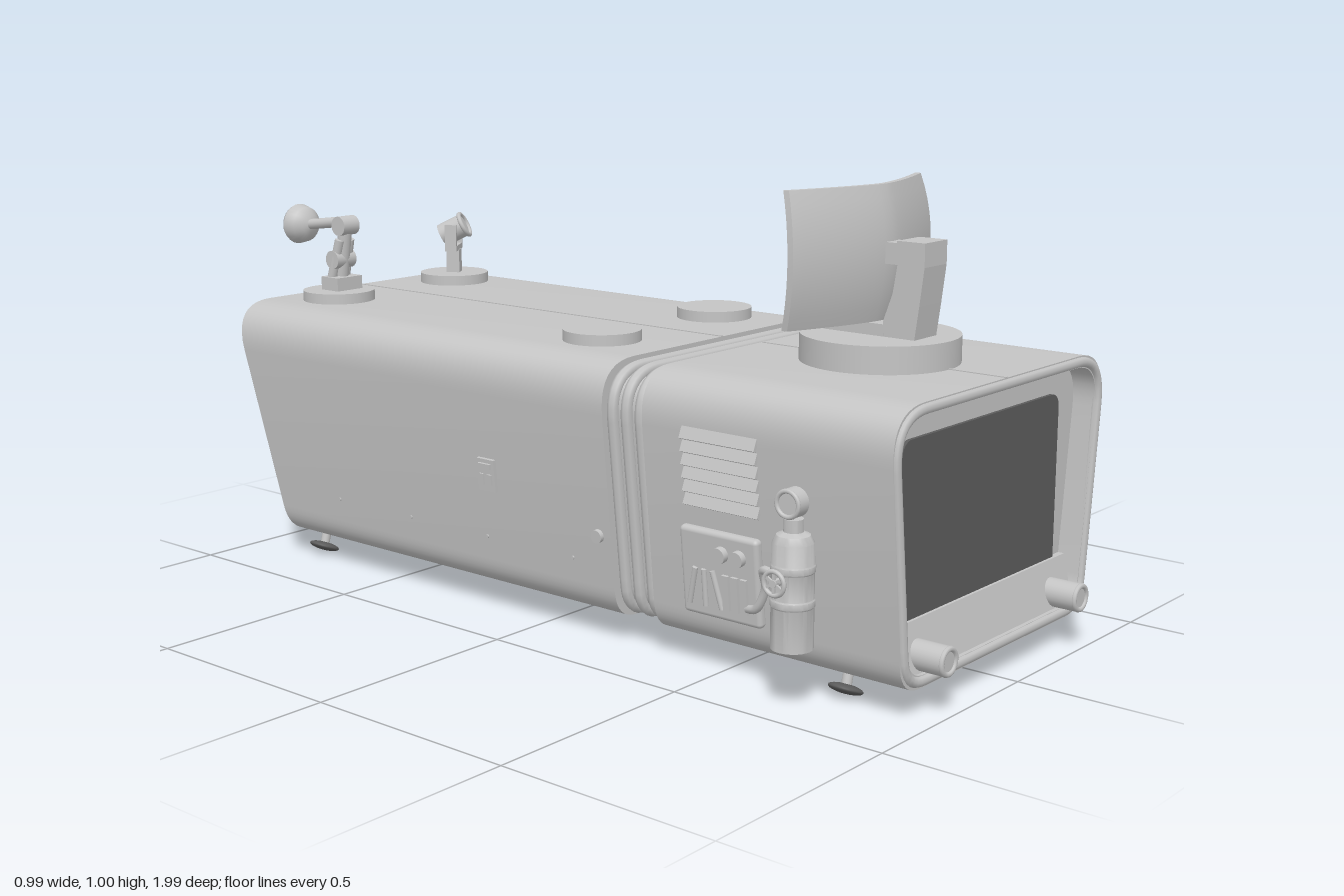
import * as THREE from 'three';
import { toCreasedNormals } from 'three/addons/utils/BufferGeometryUtils.js';
import { RoundedBoxGeometry } from 'three/addons/geometries/RoundedBoxGeometry.js';

const body = new THREE.MeshStandardMaterial({ color: 0xc4c4c4 });
body.name = 'hull grey';
const dark = new THREE.MeshStandardMaterial({ color: 0x5c5c5c });
dark.name = 'dark grey';

const H = Math.PI / 2, TOP = 0.63, BOT = 0.057, SLOPE = 0.1, LEAN = 0.1, RAKE = 0.207;
const V = (x, y, z) => new THREE.Vector3(x, y, z);
const sideX = y => 0.36 + (y - BOT) * SLOPE;
const rearZ = y => -0.98 + (TOP - y) * RAKE;

function add(parent, name, geo, mat, pos = [0, 0, 0], rot = [0, 0, 0]) {
  const m = new THREE.Mesh(geo, mat);
  m.name = name;
  m.position.set(...pos);
  m.rotation.set(...rot);
  parent.add(m);
  return m;
}
const box = (x, y, z) => new THREE.BoxGeometry(x, y, z);
const cyl = (a, b, h, n = 24) => new THREE.CylinderGeometry(a, b, h, n);
const shape = pts => new THREE.Shape(pts.map(p => new THREE.Vector2(...p)));

// Straight bar between two points
function rod(parent, name, a, b, r1, r2 = r1) {
  const m = add(parent, name, cyl(r2, r1, a.distanceTo(b), 16), body);
  m.position.copy(a).lerp(b, 0.5);
  m.quaternion.setFromUnitVectors(V(0, 1, 0), b.clone().sub(a).normalize());
}

// Rounded, downward-narrowing hull cross-section
function section(inset = 0) {
  const t = TOP - inset, b = BOT + inset, xt = sideX(TOP) - inset, xb = sideX(BOT) - inset;
  const r = 0.115 - inset * 0.6, q = r * 0.6, k = r * SLOPE, s = new THREE.Shape();
  s.moveTo(-xb + q, b);
  s.lineTo(xb - q, b);
  s.quadraticCurveTo(xb, b, xb + k * 0.6, b + q);
  s.lineTo(xt - k, t - r);
  s.quadraticCurveTo(xt, t, xt - r, t);
  s.lineTo(-xt + r, t);
  s.quadraticCurveTo(-xt, t, -xt + k, t - r);
  s.lineTo(-xb - k * 0.6, b + q);
  s.quadraticCurveTo(-xb, b, -xb + q, b);
  return s;
}
function extrude(s, z0, z1) {
  const g = new THREE.ExtrudeGeometry(s, { depth: z1 - z0, bevelEnabled: false, curveSegments: 10 });
  return g.translate(0, 0, z0);
}
function holed(outer, inner) {
  outer.holes.push(inner);
  return outer;
}
// Rake the tail so that its lower edge is further forward
function rake(g) {
  const p = g.attributes.position;
  for (let i = 0; i < p.count; i++)
    if (p.getZ(i) < -0.6) p.setZ(i, p.getZ(i) + (TOP - p.getY(i)) * RAKE);
  g.computeVertexNormals();
  return toCreasedNormals(g, 0.5);
}
// Round bead following the hull section
function bead(inset, zAt, r) {
  const pts = section(inset).getSpacedPoints(90).slice(0, -1).map(p => V(p.x, p.y, zAt(p.y)));
  return new THREE.TubeGeometry(new THREE.CatmullRomCurve3(pts, true), 180, r, 8, true);
}
function roundRect(w, h, r, cy = 0) {
  const s = new THREE.Shape(), x = w / 2 - r, y = h / 2 - r;
  s.absarc(x, cy + y, r, 0, H);
  s.absarc(-x, cy + y, r, H, 2 * H);
  s.absarc(-x, cy - y, r, 2 * H, 3 * H);
  s.absarc(x, cy - y, r, 3 * H, 4 * H);
  return s;
}

function hull(g) {
  add(g, 'frontHull', toCreasedNormals(extrude(holed(section(), section(0.025)), 0.335, 0.948), 0.5), body);
  add(g, 'rearHull', rake(extrude(holed(section(), section(0.025)), -0.975, 0.225)), body);
  add(g, 'frontRim', bead(0.0135, () => 0.945, 0.012), body);
  add(g, 'rearRim', bead(0.0135, y => rearZ(y) + 0.008, 0.012), body);
  // Bellows joint between both hull halves
  add(g, 'jointCore', toCreasedNormals(extrude(section(0.022), 0.2, 0.36), 0.5), body);
  for (const z of [0.242, 0.28, 0.318]) add(g, 'jointRib', bead(0.018, () => z, 0.013), body);
  // Centre seams
  for (const y of [TOP, BOT]) {
    add(g, 'seam', box(0.005, 0.004, 0.61), body, [0, y, 0.643]);
    const len = y === TOP ? 1.195 : 1.07;
    add(g, 'seam', box(0.005, 0.004, len), body, [0, y, 0.225 - len / 2]);
  }
  // Windscreen end
  add(g, 'frontPanel', extrude(section(0.02), 0.86, 0.895), body);
  add(g, 'windscreen', extrude(roundRect(0.61, 0.405, 0.03, 0.3425), 0.895, 0.903), dark);
  const ledge = extrude(shape([[-0.3, 0.078], [0.3, 0.078], [0.335, 0.11], [0.352, 0.18],
    [-0.352, 0.18], [-0.335, 0.11]]), 0.88, 0.94);
  const p = ledge.attributes.position;
  for (let i = 0; i < p.count; i++) p.setZ(i, p.getZ(i) - (p.getY(i) - 0.078) * 0.3);
  ledge.computeVertexNormals();
  add(g, 'frontLedge', ledge, body);
  for (const x of [-0.265, 0.265]) {
    add(g, 'headlamp', cyl(0.031, 0.031, 0.1), body, [x, 0.115, 0.945], [H, 0, 0]);
    add(g, 'headlampRing', new THREE.TorusGeometry(0.026, 0.006, 8, 24), body, [x, 0.115, 0.994]);
  }
}

function tail(g) {
  const low = shape([[-0.3, 0.075], [0.3, 0.075], [0.338, 0.115], [0.37, 0.345], [-0.37, 0.345], [-0.338, 0.115]]);
  add(g, 'tailPanel', rake(extrude(low, -0.94, -0.92)), body);
  add(g, 'rearDeck', box(0.73, 0.02, 0.43), body, [0, 0.335, -0.655]);
  // Windowed partition with a raised frame, and the wall behind it
  const y = 0.462;
  add(g, 'partition', extrude(holed(section(0.02), roundRect(0.6, 0.19, 0.06, y)), -0.68, -0.66), body);
  add(g, 'partitionFrame', extrude(holed(roundRect(0.66, 0.23, 0.08, y), roundRect(0.6, 0.19, 0.06, y)), -0.7, -0.68), body);
  add(g, 'rearBulkhead', extrude(section(0.02), -0.46, -0.44), body);
  for (const s of [-1, 1])
    for (const [dx, ly, r] of [[-0.035, 0.125, 0.027], [0.035, 0.125, 0.027], [0, 0.172, 0.024]]) {
      const z = rearZ(ly) + 0.03;
      add(g, 'tailLamp', cyl(r, r, 0.05), body, [s * 0.25 + dx, ly, z], [H, 0, 0]);
      add(g, 'tailLampRing', new THREE.TorusGeometry(r - 0.004, 0.005, 6, 20), body, [s * 0.25 + dx, ly, z - 0.025]);
    }
  for (const x of [0.22, 0.25]) rod(g, 'tailPipe', V(x, 0.188, -0.83), V(x, 0.188, -0.96), 0.006);
}

function roof(g) {
  for (const x of [-0.2, 0.2]) for (const z of [0.045, -0.83])
    add(g, 'roofDisc', cyl(0.088, 0.088, 0.03, 40), body, [x, 0.64, z]);
  // Dish turntable, post and curved reflector
  add(g, 'turntable', cyl(0.17, 0.17, 0.065, 48), body, [0, 0.656, 0.645]);
  add(g, 'dishBase', box(0.085, 0.026, 0.15), body, [0, 0.701, 0.605]);
  const post = shape([[-0.755, 0.688], [-0.765, 0.76], [-0.775, 0.84], [-0.775, 0.89], [-0.708, 0.89],
    [-0.71, 0.84], [-0.7, 0.78], [-0.678, 0.72], [-0.68, 0.688]]);
  add(g, 'dishPost', extrude(post, -0.042, 0.042), body, [0, 0, 0], [0, H, 0]);
  add(g, 'dishBracket', box(0.05, 0.045, 0.07), body, [0, 0.86, 0.69]);
  const d = new THREE.BoxGeometry(0.51, 0.285, 0.014, 20, 10, 1), p = d.attributes.position;
  for (let i = 0; i < p.count; i++) {
    const u = p.getX(i) / 0.255, v = p.getY(i) / 0.1425;
    p.setX(i, p.getX(i) * (1 - 0.05 * v * v));
    p.setZ(i, p.getZ(i) + 0.665 - 0.07 * Math.pow(Math.abs(u), 1.4) - 0.022 * v * v);
  }
  d.computeVertexNormals();
  add(g, 'dish', toCreasedNormals(d, 0.6), body, [0, 0.857, 0]);
  rod(g, 'dishFeed', V(0, 0.86, 0.66), V(0, 0.86, 0.48), 0.016, 0.007);
  add(g, 'feedBall', new THREE.SphereGeometry(0.028, 24, 16), body, [0, 0.86, 0.47]);

  // Horn on a jointed arm
  const x = -0.19;
  add(g, 'hornFoot', box(0.08, 0.035, 0.06), body, [x, 0.67, -0.83]);
  for (const s of [-1, 1]) rod(g, 'hornStrut', V(x + s * 0.022, 0.67, -0.845), V(x + s * 0.016, 0.78, -0.815), 0.012);
  add(g, 'hornJoint', cyl(0.023, 0.023, 0.06, 20), body, [x, 0.73, -0.83], [0, 0, H]);
  rod(g, 'hornNeck', V(x, 0.69, -0.83), V(x, 0.82, -0.81), 0.017);
  add(g, 'hornElbow', cyl(0.024, 0.024, 0.05, 20), body, [x, 0.815, -0.81], [0, 0, H]);
  rod(g, 'hornArm', V(x, 0.825, -0.81), V(x, 0.808, -0.94), 0.013);
  const bowl = [[0.001, -0.05], [0.026, -0.044], [0.043, -0.027], [0.05, 0], [0.046, 0.008], [0.038, 0], [0.024, -0.022], [0.001, -0.03]];
  add(g, 'hornBowl', new THREE.LatheGeometry(bowl.map(q => new THREE.Vector2(...q)), 28), body, [x, 0.806, -0.985], [-H, 0, 0]);

  // Swivel lamp in a yoke
  const lamp = new THREE.Group();
  lamp.name = 'swivelLamp';
  lamp.position.set(0.2, 0.655, -0.83);
  lamp.rotation.y = 0.6;
  g.add(lamp);
  add(lamp, 'lampPost', box(0.034, 0.06, 0.034), body, [0, 0.03, 0]);
  add(lamp, 'yokeBase', box(0.085, 0.014, 0.03), body, [0, 0.065, 0]);
  for (const s of [-1, 1]) add(lamp, 'yokeArm', box(0.01, 0.065, 0.03), body, [s * 0.038, 0.095, 0]);
  add(lamp, 'lampHead', cyl(0.03, 0.03, 0.065), body, [0, 0.11, 0], [1.1, 0, 0]);
  add(lamp, 'lampRing', new THREE.TorusGeometry(0.03, 0.006, 8, 24), body, [0, 0.125, 0.029], [-0.47, 0, 0]);
}

function flank(g, s) {
  const at = (y, z, out = 0) => [s * (sideX(y) + out), y, z];
  const tilt = [0, 0, -s * LEAN], out = [0, 0, H - s * LEAN];
  // Louvres, each flared out at its lower edge
  for (let i = 0; i < 6; i++)
    add(g, 'louvre', box(0.008, 0.026, 0.19), body, at(0.375 + i * 0.028, 0.535, 0.002), [0, 0, s * 0.4]);
  // Control box with knobs, switches and cables
  add(g, 'controlBox', new RoundedBoxGeometry(0.024, 0.19, 0.2, 3, 0.01), body, at(0.225, 0.53, 0.006), tilt);
  for (const z of [0.585, 0.54]) add(g, 'knob', cyl(0.017, 0.017, 0.025), body, at(0.275, z, 0.02), out);
  for (let i = 0; i < 3; i++) add(g, 'switch', box(0.018, 0.075, 0.016), body, at(0.195, 0.595 - i * 0.023, 0.016), tilt);
  for (let i = 0; i < 3; i++) {
    const z = 0.515 - i * 0.022;
    rod(g, 'cable', V(...at(0.235, z, 0.02)), V(...at(0.155, z - (i - 1) * 0.02, 0.02)), 0.006);
  }
  // Gas bottle with gauge and hand wheel
  const bx = 0.428, bz = 0.738;
  const prof = [[0, 0.13], [0.043, 0.13], [0.043, 0.215], [0.045, 0.218], [0.045, 0.23], [0.043, 0.233], [0.043, 0.285], [0.045, 0.288],
    [0.045, 0.3], [0.043, 0.303], [0.042, 0.345], [0.034, 0.36], [0.02, 0.366], [0.02, 0.392], [0, 0.392]];
  const bottle = new THREE.LatheGeometry(prof.map(q => new THREE.Vector2(...q)), 28).toNonIndexed();
  add(g, 'gasBottle', toCreasedNormals(bottle, 0.6), body, [s * bx, 0, bz]);
  add(g, 'bottleMount', box(0.06, 0.1, 0.03), body, [s * 0.395, 0.26, bz]);
  add(g, 'gauge', cyl(0.03, 0.03, 0.03), body, [s * 0.434, 0.424, bz], [0, 0, H]);
  add(g, 'gaugeRing', new THREE.TorusGeometry(0.026, 0.005, 8, 24), body, [s * 0.449, 0.424, bz], [0, H, 0]);
  rod(g, 'wheelShaft', V(s * 0.46, 0.275, bz), V(s * 0.495, 0.275, bz), 0.008);
  add(g, 'handWheel', new THREE.TorusGeometry(0.024, 0.005, 8, 24), body, [s * 0.49, 0.275, bz], [0, H, 0]);
  for (const a of [0, 1.05, 2.1]) add(g, 'wheelSpoke', box(0.005, 0.048, 0.006), body, [s * 0.49, 0.275, bz], [a, 0, 0]);
  const hose = [[0.428, 0.27, 0.695], [0.42, 0.27, 0.66], [0.405, 0.23, 0.655], [0.4, 0.18, 0.63], [0.39, 0.17, 0.6]];
  add(g, 'hose', new THREE.TubeGeometry(new THREE.CatmullRomCurve3(hose.map(q => V(s * q[0], q[1], q[2]))), 24, 0.009, 8), body);
  // Rear flank fittings
  add(g, 'socketPlate', box(0.016, 0.075, 0.052), body, at(0.33, -0.13), tilt);
  for (const z of [-0.118, -0.142]) add(g, 'socketSlot', box(0.008, 0.025, 0.012), body, at(0.32, z, 0.008), tilt);
  add(g, 'socketLip', box(0.02, 0.012, 0.036), body, at(0.352, -0.13, 0.004), tilt);
  add(g, 'flankButton', cyl(0.015, 0.015, 0.02), body, at(0.245, 0.19), out);
  for (const z of [0.11, -0.15, -0.4, -0.65]) add(g, 'rivet', cyl(0.004, 0.004, 0.006, 10), body, at(0.18, z), out);
}

function underside(g) {
  for (const x of [-0.155, 0.155]) for (const z of [0.67, -0.72]) {
    add(g, 'vent', cyl(0.088, 0.06, 0.022, 32), body, [x, 0.049, z]);
    add(g, 'ventRing', new THREE.TorusGeometry(0.045, 0.007, 8, 28), body, [x, 0.038, z], [H, 0, 0]);
    add(g, 'ventHub', cyl(0.02, 0.016, 0.02), body, [x, 0.038, z]);
  }
  add(g, 'hatch', new RoundedBoxGeometry(0.28, 0.024, 0.3, 3, 0.01), body, [0, 0.056, -0.41]);
  for (let i = 0; i < 5; i++) add(g, 'hatchSlat', box(0.19, 0.008, 0.02), body, [0, 0.043, -0.5 + i * 0.045]);
  add(g, 'hatchLatch', box(0.08, 0.02, 0.06), body, [0, 0.05, -0.24]);
  add(g, 'towLoop', new THREE.TorusGeometry(0.06, 0.008, 8, 32), body, [0, 0.044, -0.19], [H, 0, 0]);
  // Splayed feet with domed pads
  for (const s of [-1, 1]) for (const z of [0.78, -0.8]) {
    rod(g, 'footStrut', V(s * 0.282, 0.085, z), V(s * 0.298, 0.025, z), 0.011);
    const pad = new THREE.SphereGeometry(0.037, 28, 12).scale(1, 0.28, 1);
    add(g, 'footPad', pad, dark, [s * 0.3, 0.019, z], [0, 0, s * 0.4]);
  }
}

export function createModel() {
  const g = new THREE.Group();
  g.name = 'podVehicle';
  hull(g);
  tail(g);
  roof(g);
  flank(g, 1);
  flank(g, -1);
  underside(g);
  return g;
}
